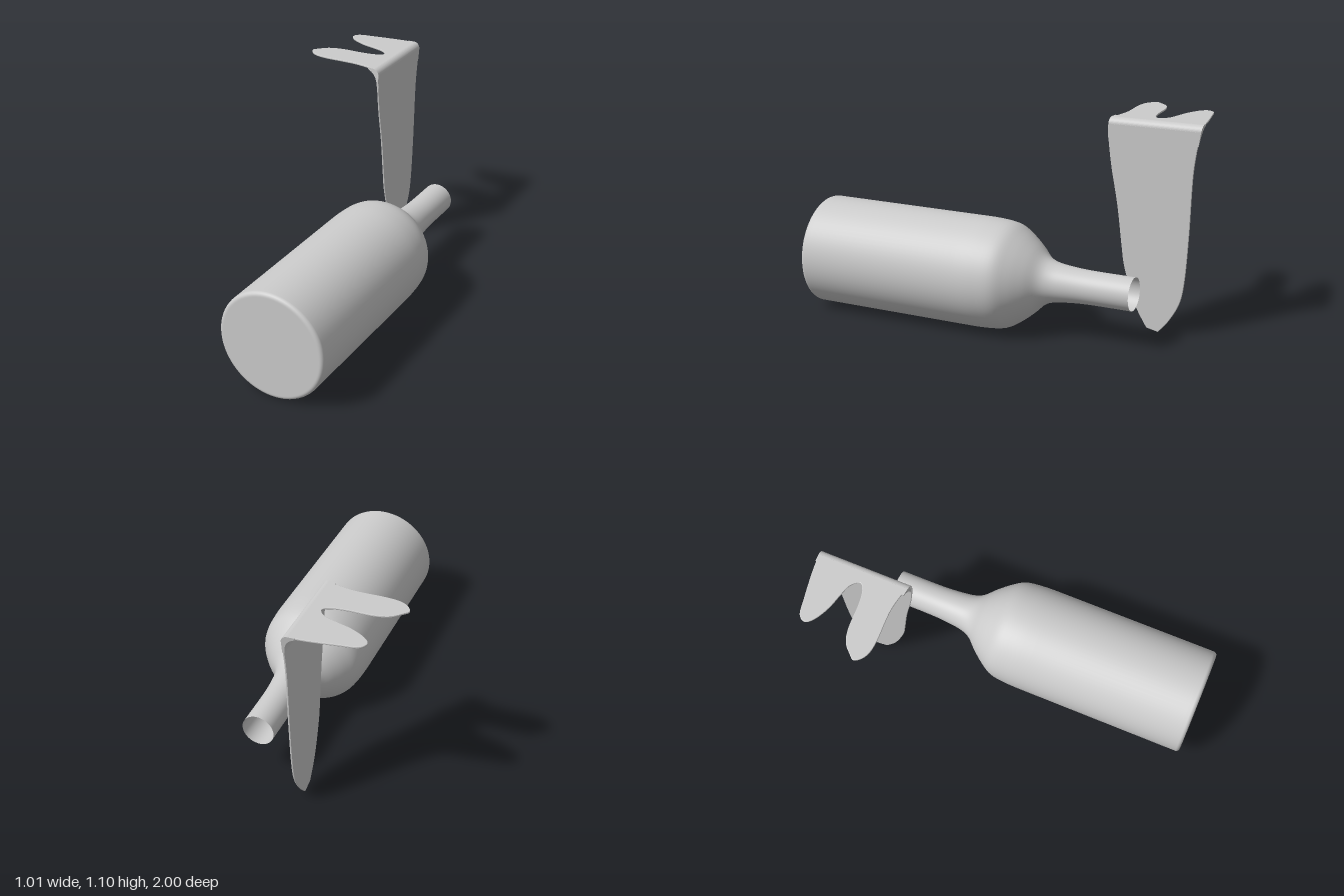
import * as THREE from 'three';

const grey = new THREE.MeshStandardMaterial({ color: 0xcccccc, side: THREE.DoubleSide });
const THICK = 0.01;

const toVectors = (pairs) => pairs.map(([a, b]) => new THREE.Vector2(a, b));

// Thin plate with slightly softened edges, lying between z = 0 and z = THICK
function plate(shape) {
  return new THREE.ExtrudeGeometry(shape, {
    depth: THICK - 0.006, bevelThickness: 0.003, bevelSize: 0.003, bevelOffset: -0.003,
    bevelSegments: 2, curveSegments: 6,
  }).translate(0, 0, 0.003);
}

function part(name, geometry) {
  const mesh = new THREE.Mesh(geometry, grey);
  mesh.name = name;
  return mesh;
}

// Bottle lying along z, open at the neck
function makeBottle() {
  const shoulder = new THREE.SplineCurve(toVectors([
    [0.287, 0.1], [0.285, 0], [0.272, -0.1], [0.232, -0.17], [0.18, -0.235],
    [0.128, -0.29], [0.105, -0.34], [0.094, -0.41], [0.087, -0.5], [0.085, -0.6],
  ])).getPoints(40).reverse();
  const base = [];
  for (let i = 0; i <= 6; i++) {
    const a = (i / 6) * Math.PI / 2;
    base.push(new THREE.Vector2(0.267 + 0.02 * Math.cos(a), 0.98 + 0.02 * Math.sin(a)));
  }
  const profile = [
    new THREE.Vector2(0.085, -0.765), ...shoulder,
    new THREE.Vector2(0.287, 0.96), ...base, ...toVectors([[0.262, 1], [0, 1]]),
  ];
  return part('bottle', new THREE.LatheGeometry(profile, 72).rotateX(Math.PI / 2).translate(0.217, 0.29, 0));
}

// Upright blade, outlined in (z, y)
function makeBlade() {
  const shape = new THREE.Shape();
  shape.moveTo(-0.51, 1.075);
  shape.splineThru(toVectors([
    [-0.51, 1.02], [-0.53, 0.86], [-0.567, 0.66], [-0.595, 0.45], [-0.612, 0.34],
    [-0.653, 0.2], [-0.69, 0.11], [-0.742, 0.022],
  ]));
  shape.lineTo(-0.805, 0.008);
  shape.splineThru(toVectors([
    [-0.86, 0.075], [-0.915, 0.18], [-0.938, 0.31], [-0.952, 0.55], [-0.963, 0.87], [-0.993, 1.075],
  ]));
  return part('blade', plate(shape).rotateY(-Math.PI / 2).translate(-0.04, 0, 0));
}

// Two-pronged fork, outlined in (x, z)
function makeFork() {
  const shape = new THREE.Shape();
  shape.moveTo(-0.07, -0.997);
  shape.splineThru(toVectors([
    [-0.18, -0.985], [-0.31, -0.963], [-0.395, -0.945], [-0.42, -0.905], [-0.385, -0.865],
    [-0.31, -0.828], [-0.233, -0.807], [-0.165, -0.785], [-0.132, -0.745], [-0.165, -0.718],
    [-0.24, -0.704], [-0.365, -0.698], [-0.44, -0.677], [-0.487, -0.635], [-0.508, -0.603],
    [-0.47, -0.56], [-0.39, -0.542], [-0.205, -0.546], [-0.07, -0.522],
  ]));
  return part('fork', plate(shape).rotateX(Math.PI / 2).translate(0, 1.105, 0));
}

// Rounded corner joining blade and fork, thickened on the inside
function makeBend() {
  const shape = new THREE.Shape();
  shape.moveTo(-0.04, 1.0);
  shape.lineTo(-0.04, 1.07);
  shape.absarc(-0.075, 1.07, 0.035, 0, Math.PI / 2, false);
  shape.lineTo(-0.11, 1.105);
  shape.lineTo(-0.11, 1.095);
  shape.bezierCurveTo(-0.07, 1.08, -0.055, 1.06, -0.05, 1.0);
  shape.closePath();
  const geometry = new THREE.ExtrudeGeometry(shape, { depth: 1, bevelEnabled: false, curveSegments: 10 });
  // Follow the flare of the blade and the taper of the fork at both ends
  const pos = geometry.attributes.position;
  for (let i = 0; i < pos.count; i++) {
    const rise = (pos.getY(i) - 1.0) / 0.105;
    const inset = Math.max(0, -0.04 - pos.getX(i));
    const back = -0.982 - 0.017 * rise + 0.04 * inset;
    const front = -0.511 - 0.15 * inset;
    pos.setZ(i, THREE.MathUtils.lerp(back, front, pos.getZ(i)));
  }
  geometry.computeVertexNormals();
  return part('bend', geometry);
}

export function createModel() {
  const model = new THREE.Group();
  model.name = 'bottleAndBentFork';
  const bentFork = new THREE.Group();
  bentFork.name = 'bentFork';
  bentFork.add(makeBlade(), makeFork(), makeBend());
  model.add(makeBottle(), bentFork);
  return model;
}
